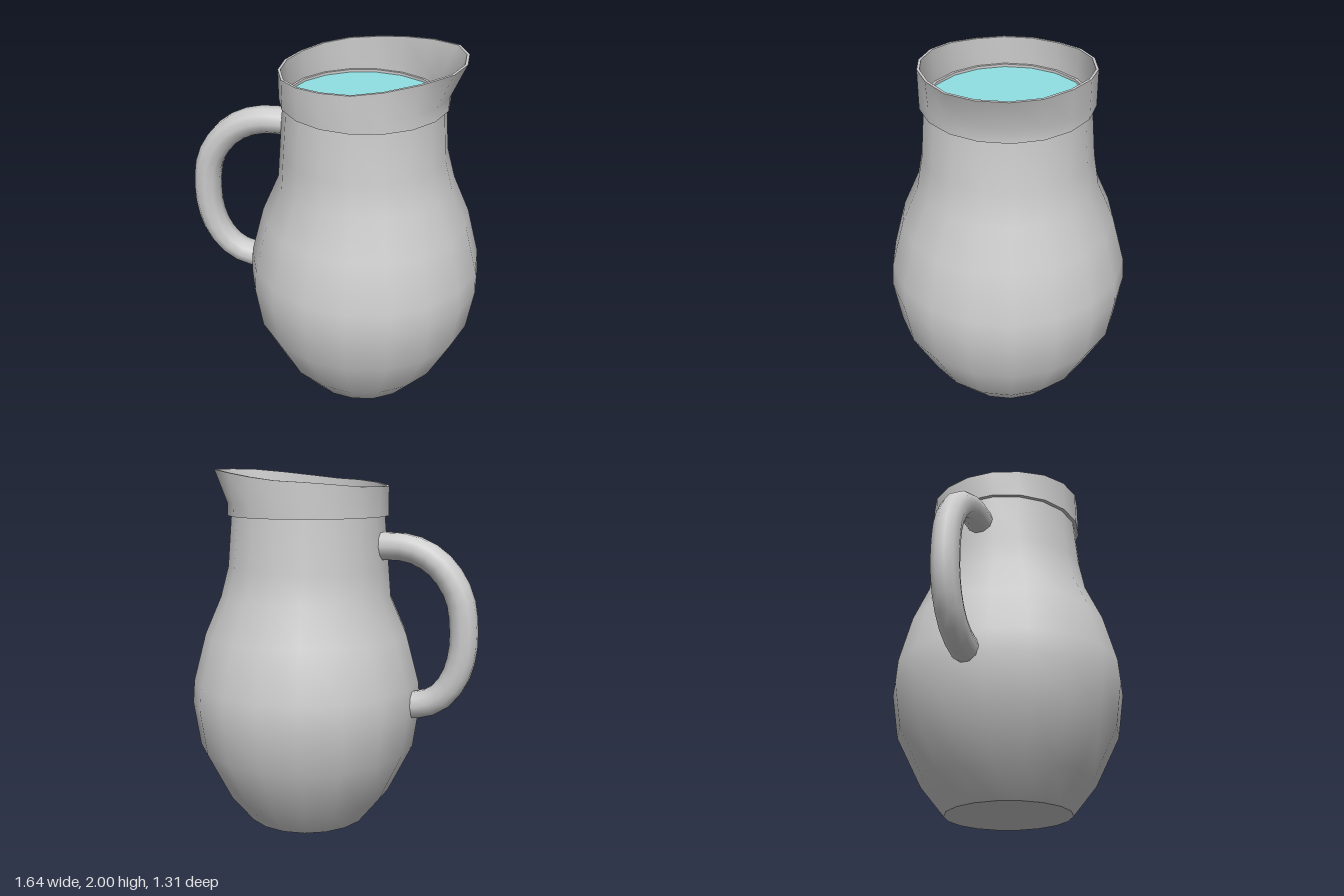
import * as THREE from 'three';
import { toCreasedNormals } from 'three/addons/utils/BufferGeometryUtils.js';

const SIDES = 18;
const AXIS = 0.172; // x of the belly axis
const NECK_AXIS = 0.155; // x of the neck and rim axis
const grey = new THREE.MeshStandardMaterial({ color: 0xcccccc });
const liquid = new THREE.MeshStandardMaterial({ color: 0x90e0e4 });

function lathe(profile) {
  return new THREE.LatheGeometry(profile.map(([r, y]) => new THREE.Vector2(r, y)), SIDES);
}

// Move every vertex of a geometry by a rule
function reshape(geometry, rule) {
  const pos = geometry.attributes.position;
  const v = new THREE.Vector3();
  for (let i = 0; i < pos.count; i++) {
    rule(v.fromBufferAttribute(pos, i));
    pos.setXYZ(i, v.x, v.y, v.z);
  }
  return toCreasedNormals(geometry, 0.75);
}

function part(name, geometry, material = grey) {
  const mesh = new THREE.Mesh(geometry, material);
  mesh.name = name;
  return mesh;
}

// Belly and neck: the neck sits slightly off the belly axis
function makeBody() {
  const geometry = lathe([
    [0, 0], [0.35, 0], [0.48, 0.16], [0.62, 0.44], [0.657, 0.69], [0.647, 0.82],
    [0.575, 1.09], [0.483, 1.3], [0.453, 1.47], [0.429, 1.755],
  ]);
  return reshape(geometry, (v) => {
    v.x += THREE.MathUtils.lerp(AXIS, NECK_AXIS, THREE.MathUtils.clamp((v.y - 1.3) / 0.17, 0, 1));
  });
}

// Rim band with inner wall and ledge; its top edge rises towards a pulled-out spout
function makeRim() {
  const TOP = 2;
  // One value per column, from the spout round to the handle
  const heights = [2, 1.998, 1.982, 1.962, 1.945, 1.937, 1.925, 1.912, 1.91];
  const pull = [0.078, 0.075, 0.03, 0, 0, 0, 0, 0, 0];
  const geometry = lathe([
    [0.425, 1.75], [0.45, 1.75], [0.45, 1.82], [0.45, TOP],
    [0.436, TOP], [0.436, 1.82], [0.436, 1.757], [0.422, 1.757], [0.422, 1.73],
  ]);
  return reshape(geometry, (v) => {
    const angle = Math.abs(Math.atan2(v.z, v.x));
    const column = Math.min(8, Math.floor(angle / (Math.PI / 9)));
    if (v.y > 1.99) {
      v.y = heights[column];
      v.x += pull[column];
    }
    v.x += NECK_AXIS;
  });
}

// Round handle from the neck down to the belly
function makeHandle() {
  const path = new THREE.CatmullRomCurve3([
    [-0.24, 1.59], [-0.40, 1.59], [-0.50, 1.563], [-0.595, 1.505], [-0.67, 1.418],
    [-0.722, 1.31], [-0.744, 1.12], [-0.733, 0.995], [-0.70, 0.89], [-0.645, 0.805],
    [-0.575, 0.75], [-0.48, 0.72], [-0.41, 0.715],
  ].map(([x, y]) => new THREE.Vector3(x, y, 0)));
  return new THREE.TubeGeometry(path, 18, 0.077, 10);
}

export function createModel() {
  const jug = new THREE.Group();
  jug.name = 'jug';
  jug.add(part('body', makeBody()));
  jug.add(part('rim', makeRim()));
  jug.add(part('handle', makeHandle()));

  // Liquid surface filling the neck
  const surface = new THREE.CircleGeometry(0.424, SIDES, Math.PI / SIDES).rotateX(-Math.PI / 2);
  const drink = part('liquid', surface, liquid);
  drink.position.set(NECK_AXIS, 1.742, 0);
  jug.add(drink);
  return jug;
}
